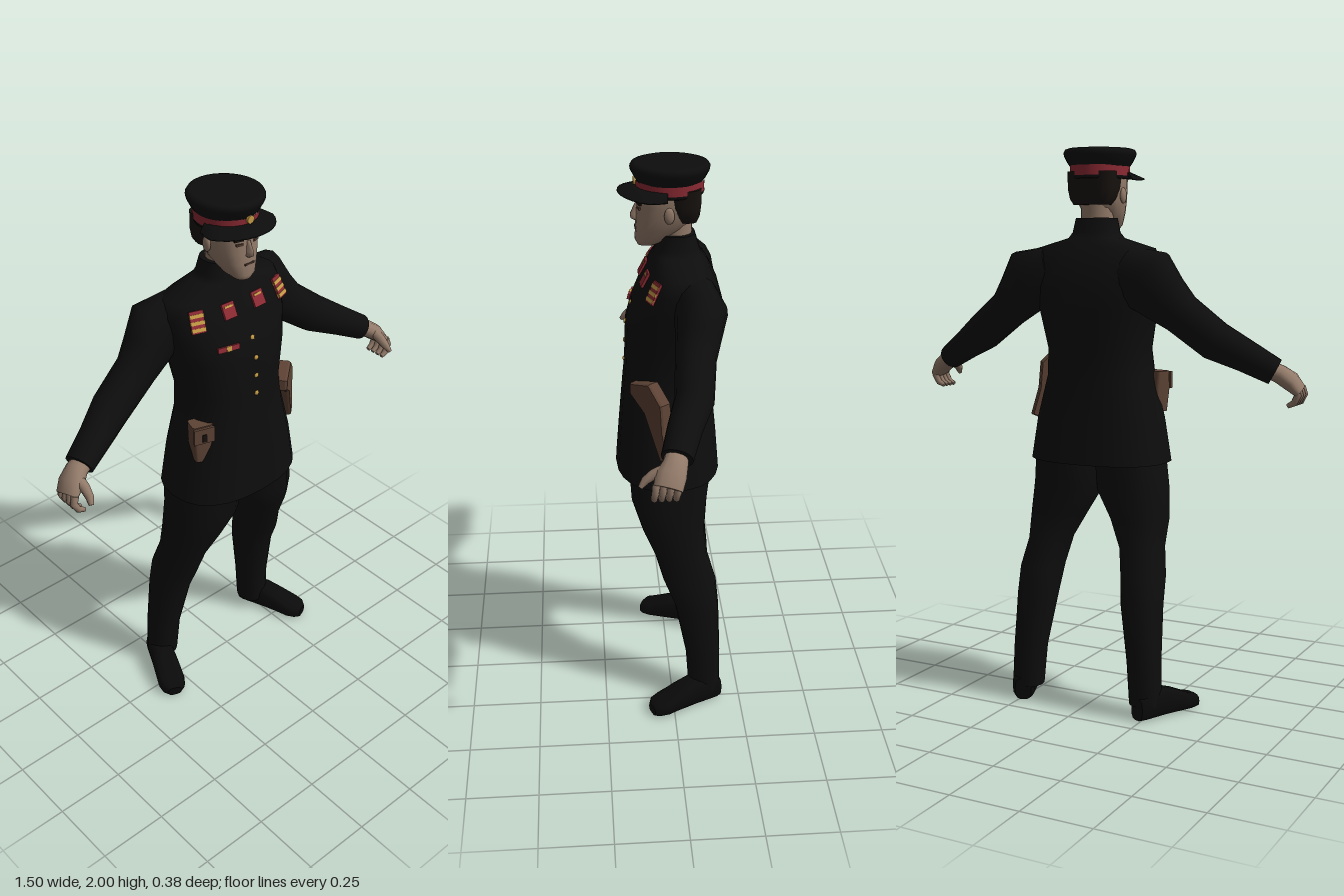
import * as THREE from 'three';

const V = (x, y, z) => new THREE.Vector3(x, y, z);
const material = (name, color) => {
  const m = new THREE.MeshStandardMaterial({ color });
  m.name = name;
  return m;
};

// Skin a list of rings (equal numbers of points) and close both ends.
function loft(rings) {
  const n = rings[0].length, pos = [], idx = [];
  rings.forEach(r => r.forEach(p => pos.push(p.x, p.y, p.z)));
  for (let i = 0; i < rings.length - 1; i++) for (let j = 0; j < n; j++) {
    const a = i * n + j, b = i * n + (j + 1) % n;
    idx.push(a, a + n, b, b, a + n, b + n);
  }
  [rings[0], rings[rings.length - 1]].forEach((r, end) => {
    const start = pos.length / 3;
    const c = r.reduce((s, p) => s.add(p), V(0, 0, 0)).divideScalar(n);
    [...r, c].forEach(p => pos.push(p.x, p.y, p.z));
    for (let j = 0; j < n; j++) {
      const a = start + j, b = start + (j + 1) % n;
      idx.push(...(end ? [b, a, start + n] : [a, b, start + n]));
    }
  });
  // Turn the faces outward if the enclosed volume is negative.
  const at = i => V(pos[3 * i], pos[3 * i + 1], pos[3 * i + 2]);
  let volume = 0;
  for (let i = 0; i < idx.length; i += 3) volume += at(idx[i]).dot(at(idx[i + 1]).cross(at(idx[i + 2])));
  if (volume < 0) idx.reverse();
  const g = new THREE.BufferGeometry();
  g.setAttribute('position', new THREE.Float32BufferAttribute(pos, 3));
  g.setIndex(idx);
  g.computeVertexNormals();
  return g;
}

// Rounded cross-section spanned by two half-axes.
function ring(c, u, v, n = 16, power = 2.3) {
  const sp = t => Math.sign(t) * Math.abs(t) ** (2 / power);
  return Array.from({ length: n }, (_, i) => {
    const a = (i / n) * Math.PI * 2;
    return c.clone().addScaledVector(u, sp(Math.cos(a))).addScaledVector(v, sp(Math.sin(a)));
  });
}

// Horizontal sections: [y, xMin, xMax, zFront, zBack]
const stack = (rows, n, power) => loft(rows.map(([y, x0, x1, zf, zb]) =>
  ring(V((x0 + x1) / 2, y, (zf + zb) / 2), V((x1 - x0) / 2, 0, 0), V(0, 0, (zf - zb) / 2), n, power)));
// Symmetric horizontal sections: [y, halfWidth, zFront, zBack]
const body = (rows, n, power) => stack(rows.map(([y, w, f, b]) => [y, -w, w, f, b]), n, power);

// Limb along a path: [x, y, z, radius in the front plane, radius in depth]
function limb(rows, side, n = 12) {
  const pts = rows.map(([x, y, z]) => V(x * side, y, z));
  return loft(rows.map((r, i) => {
    const t = pts[Math.min(i + 1, pts.length - 1)].clone().sub(pts[Math.max(i - 1, 0)]).normalize();
    const b = V(0, 0, 1).addScaledVector(t, -t.z).normalize();
    return ring(pts[i], b.clone().cross(t).multiplyScalar(r[3]), b.multiplyScalar(r[4]), n, 2.1);
  }));
}

export function createModel() {
  const model = new THREE.Group();
  model.name = 'officer';
  const black = material('uniform black', 0x0d0d0d);
  const boot = material('boot black', 0x0a0a0a);
  const skin = material('skin', 0x927a69);
  const hairMat = material('dark hair', 0x17120f);
  const feature = material('face shadow brown', 0x4d382e);
  const leather = material('brown leather', 0x5d4335);
  const red = material('red cloth', 0x8c2a33);
  const gold = material('gold', 0xc49a45);
  const add = (name, geometry, mat, parent = model) => {
    const m = new THREE.Mesh(geometry, mat);
    m.name = name;
    parent.add(m);
    return m;
  };
  const box = (name, w, h, d, mat, p, parent) => {
    const m = add(name, new THREE.BoxGeometry(w, h, d), mat, parent);
    m.position.set(...p);
    return m;
  };

  // Tunic with flared skirt, chest, shoulders and collar
  const tunic = add('tunic', body([
    [0.9, 0.26, 0.19, -0.18], [1.05, 0.235, 0.178, -0.168], [1.2, 0.195, 0.165, -0.152],
    [1.3, 0.185, 0.155, -0.16], [1.44, 0.213, 0.15, -0.182], [1.52, 0.232, 0.127, -0.187],
    [1.6, 0.245, 0.092, -0.165], [1.655, 0.225, 0.062, -0.137], [1.69, 0.1, 0.05, -0.112],
    [1.71, 0.083, 0.042, -0.105], [1.76, 0.074, 0.03, -0.09]], 24, 2.4), black);

  for (const s of [1, -1]) {
    const side = s > 0 ? 'left' : 'right';
    // Sleeve
    add(side + 'Sleeve', limb([
      [0.15, 1.575, -0.08, 0.09, 0.075], [0.235, 1.545, -0.092, 0.115, 0.088],
      [0.285, 1.487, -0.078, 0.092, 0.077], [0.345, 1.435, -0.065, 0.073, 0.068],
      [0.465, 1.345, -0.05, 0.069, 0.065], [0.56, 1.295, -0.012, 0.056, 0.057],
      [0.655, 1.242, 0.02, 0.046, 0.052]], s, 16), black);
    // Hand with curled fingers
    const hand = new THREE.Group();
    hand.name = side + 'Hand';
    model.add(hand);
    add('palm', limb([[0.635, 1.25, 0.018, 0.03, 0.036], [0.67, 1.235, 0.026, 0.032, 0.04],
      [0.705, 1.21, 0.042, 0.031, 0.049], [0.733, 1.178, 0.054, 0.02, 0.047]], s), skin, hand);
    for (let i = 0; i < 4; i++) {
      const z = 0.02 + i * 0.023;
      add('finger', limb([[0.727, 1.19, z, 0.014, 0.013], [0.736, 1.165, z + 0.004, 0.013, 0.012],
        [0.722, 1.138, z + 0.007, 0.012, 0.011], [0.7, 1.127, z + 0.008, 0.008, 0.008]], s, 8), skin, hand);
    }
    add('thumb', limb([[0.69, 1.225, 0.055, 0.02, 0.02], [0.69, 1.208, 0.095, 0.018, 0.018],
      [0.693, 1.188, 0.122, 0.014, 0.014], [0.7, 1.168, 0.138, 0.008, 0.008]], s, 8), skin, hand);

    // Trouser leg
    add(side + 'TrouserLeg', stack([
      [0.96, 0, 0.235, 0.15, -0.15], [0.8, 0.003, 0.255, 0.14, -0.13], [0.7, 0.06, 0.265, 0.105, -0.12],
      [0.6, 0.11, 0.262, 0.06, -0.13], [0.5, 0.13, 0.28, 0.03, -0.16], [0.4, 0.14, 0.285, -0.01, -0.17],
      [0.2, 0.173, 0.292, -0.05, -0.176], [0.05, 0.185, 0.298, -0.06, -0.176]]
      .map(([y, a, b, f, k]) => [y, s > 0 ? a : -b, s > 0 ? b : -a, f, k]), 16), black);
    // Boot, turned outward: [distance from heel, half width, height]
    const shoe = add(side + 'Boot', loft([[0, 0.03, 0.08], [0.02, 0.042, 0.1], [0.11, 0.046, 0.105],
      [0.17, 0.05, 0.085], [0.23, 0.053, 0.058], [0.262, 0.045, 0.05], [0.278, 0.026, 0.036]]
      .map(([d, w, h]) => ring(V(0, h / 2, d), V(w, 0, 0), V(0, h / 2, 0), 14, 3))), boot);
    shoe.position.set(0.234 * s, 0, -0.172);
    shoe.rotation.y = 0.4 * s;
  }

  // Neck, head and hair
  add('neck', body([[1.68, 0.058, 0.026, -0.08], [1.83, 0.058, 0.03, -0.082]], 16, 2), skin);
  add('head', body([[1.72, 0.03, 0.104, 0.04], [1.738, 0.049, 0.113, 0], [1.78, 0.07, 0.111, -0.06],
    [1.82, 0.08, 0.11, -0.09], [1.86, 0.086, 0.106, -0.1], [1.9, 0.088, 0.106, -0.105],
    [1.93, 0.08, 0.1, -0.1]], 20, 2.3), skin);
  add('hair', body([[1.805, 0.068, -0.03, -0.096], [1.825, 0.082, -0.015, -0.104],
    [1.86, 0.091, 0.005, -0.109], [1.92, 0.094, 0.02, -0.11]], 16, 3.2), hairMat);
  add('nose', loft([[1.862, 0.008, 0.11], [1.825, 0.013, 0.127], [1.81, 0.018, 0.126], [1.803, 0.012, 0.114]]
    .map(([y, w, z]) => [V(-w, y, 0.1), V(w, y, 0.1), V(w * 0.35, y, z), V(-w * 0.35, y, z)])), skin);
  box('mouth', 0.04, 0.006, 0.008, feature, [0, 1.779, 0.109]);
  for (const s of [1, -1]) {
    const ear = add('ear', new THREE.SphereGeometry(1, 10, 8), skin);
    ear.scale.set(0.01, 0.028, 0.018);
    ear.position.set(0.088 * s, 1.838, 0.002);
    box('eye', 0.024, 0.008, 0.008, feature, [0.034 * s, 1.852, 0.1]).rotation.y = 0.25 * s;
    box('eyebrow', 0.034, 0.007, 0.009, hairMat, [0.036 * s, 1.868, 0.099]).rotation.y = 0.25 * s;
  }

  // Peaked cap: crown, red band, lower rim, visor and badge
  const cap = new THREE.Group();
  cap.name = 'cap';
  model.add(cap);
  const lathe = (name, pts, mat, sx) => {
    const m = add(name, new THREE.LatheGeometry(pts.map(p => new THREE.Vector2(...p)), 28), mat, cap);
    m.scale.x = sx;
    m.position.z = -0.006;
  };
  lathe('capCrown', [[0.11, 1.938], [0.119, 1.95], [0.132, 1.974], [0.134, 1.986], [0.128, 1.996], [0.115, 2], [0, 2]], black, 0.95);
  lathe('capBand', [[0.114, 1.904], [0.115, 1.941]], red, 0.9);
  lathe('capRim', [[0, 1.897], [0.112, 1.895], [0.116, 1.905], [0.112, 1.907]], black, 0.9);
  const visor = [];
  for (let i = 0; i <= 16; i++) {
    const a = (i / 8 - 1) * 1.5, k = Math.min(1, Math.cos(a) * 1.6 + 0.3);
    const sn = Math.sin(a), cs = Math.cos(a);
    const xo = 0.1 + 0.05 * k, zo = 0.11 + 0.06 * k, y = 1.908 - 0.012 * sn * sn;
    visor.push([V(0.098 * sn, 1.922, 0.105 * cs), V(xo * sn, y, zo * cs),
      V(xo * sn, y - 0.006, zo * cs), V(0.098 * sn, 1.908, 0.105 * cs)]);
  }
  add('capVisor', loft(visor), black, cap);
  const badge = add('capBadge', new THREE.CylinderGeometry(0.014, 0.014, 0.009, 10), gold, cap);
  badge.rotation.x = Math.PI / 2;
  badge.position.set(0, 1.936, 0.112);

  // Insignia: thin plates laid on the tunic surface
  const ray = new THREE.Raycaster();
  const onChest = (name, x, y) => {
    ray.set(V(x, y, 1), V(0, 0, -1));
    const hit = ray.intersectObject(tunic)[0];
    const g = new THREE.Group();
    g.name = name;
    g.position.copy(hit.point);
    g.lookAt(hit.point.clone().add(hit.face.normal));
    model.add(g);
    return g;
  };
  for (const s of [1, -1]) {
    const rank = onChest('rankPatch', 0.18 * s, 1.606);
    box('rankCloth', 0.05, 0.075, 0.009, red, [0, 0, 0.003], rank);
    for (const y of [-0.026, -0.003, 0.02]) box('rankStripe', 0.05, 0.012, 0.009, gold, [0, y, 0.005], rank);
    const tab = onChest('chestTab', 0.064 * s, 1.615);
    box('tabCloth', 0.05, 0.054, 0.009, red, [0, 0, 0.003], tab);
    box('tabBar', 0.032, 0.007, 0.009, gold, [0, 0.014, 0.005], tab);
  }
  const ribbon = onChest('ribbonBar', -0.1, 1.503);
  box('ribbonCloth', 0.08, 0.018, 0.009, red, [0, 0, 0.004], ribbon);
  box('ribbonCentre', 0.018, 0.018, 0.009, gold, [0, 0, 0.006], ribbon);
  for (const y of [1.51, 1.44, 1.37, 1.3]) {
    const button = add('button', new THREE.SphereGeometry(0.009, 8, 6), gold, onChest('buttonMount', 0, y));
    button.scale.z = 0.6;
  }

  // Holster on the left hip
  const outline = [[0, 1.27], [0.09, 1.293], [0.15, 1.235], [0.158, 1.14], [0.185, 1.045], [0.15, 1.03], [0.07, 1.185], [0, 1.235]];
  const holster = new THREE.Group();
  holster.name = 'holster';
  holster.position.set(0.135, 0, 0.112);
  holster.rotation.y = 0.68;
  model.add(holster);
  add('holsterBody', new THREE.ExtrudeGeometry(new THREE.Shape(outline.map(p => new THREE.Vector2(...p))),
    { depth: 0.03, bevelThickness: 0.008, bevelSize: 0.004, bevelSegments: 1 }), leather, holster);

  // Pouch on the right hip
  const pouch = new THREE.Group();
  pouch.name = 'pouch';
  pouch.position.set(-0.188, 1.148, 0.075);
  pouch.rotation.y = -0.3;
  model.add(pouch);
  add('pouchBody', loft([[-0.073, 0.028, 0.03], [0.01, 0.036, 0.036], [0.073, 0.038, 0.03]].map(([y, w, d]) =>
    ring(V(0, y, 0), V(w, 0, 0), V(0, 0, d), 16, 6))), leather, pouch);
  box('pouchFlap', 0.076, 0.06, 0.009, leather, [0, 0.04, 0.036], pouch);
  box('pouchLatch', 0.016, 0.03, 0.006, hairMat, [0, 0.032, 0.04], pouch);
  return model;
}
